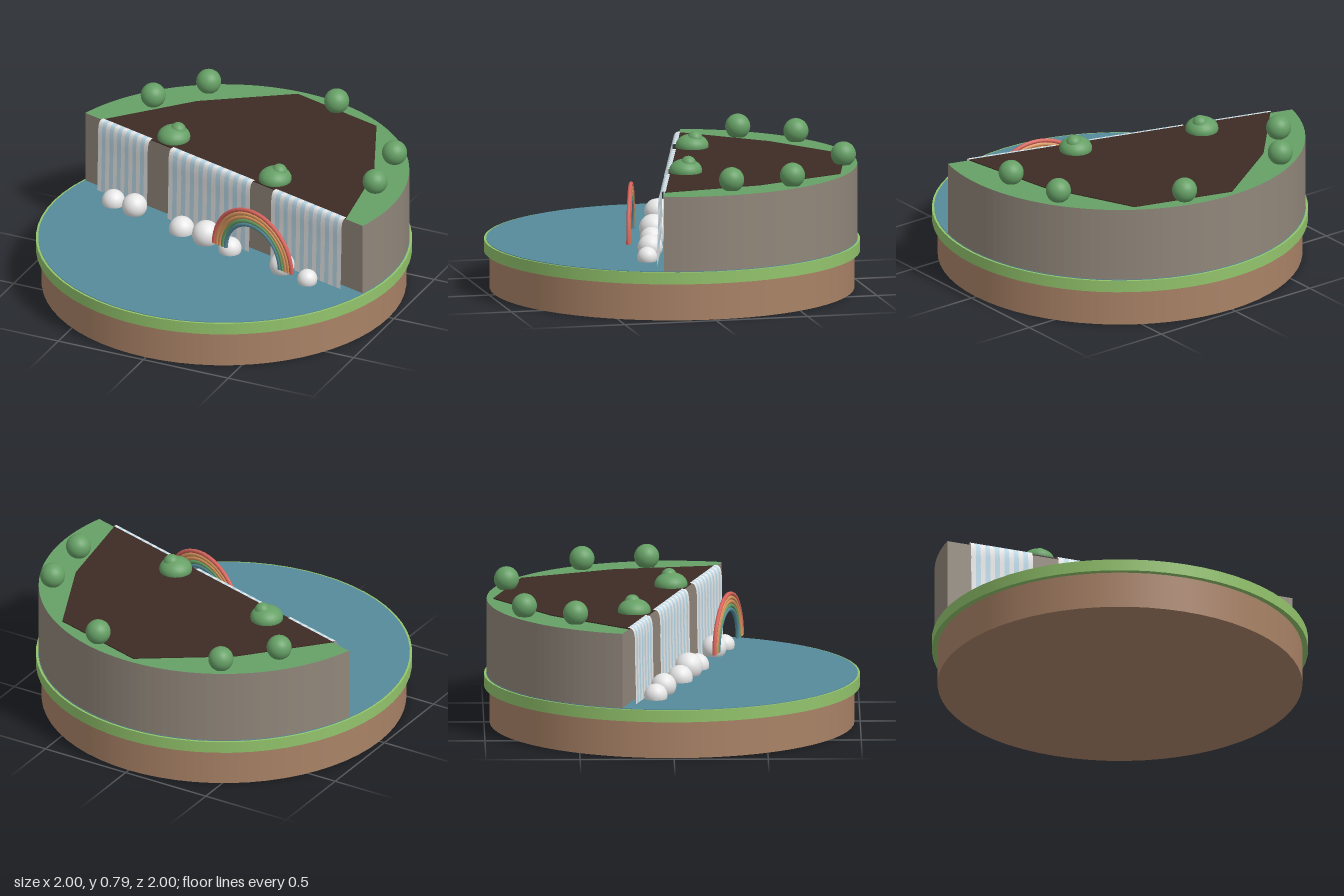
import * as THREE from 'three';

const mat = (name, color, extra = {}) => {
  const m = new THREE.MeshStandardMaterial({ color, ...extra });
  m.name = name;
  return m;
};

export function createModel() {
  const earth = mat('earth', 0xa98266);
  const lime = mat('lime', 0x92c36b);
  const water = mat('water', 0x558b9b);
  const stone = mat('stone', 0x90867a);
  const grass = mat('grass', 0x66a066);
  const soil = mat('soil', 0x3d2c24);
  const foam = mat('foam', 0xe8e8e8, { side: THREE.DoubleSide });
  const paleBlue = mat('paleBlue', 0xb9d9e8, { side: THREE.DoubleSide });
  const red = mat('red', 0xd9645c);
  const orange = mat('orange', 0xd8955c);

  const model = new THREE.Group();
  const add = (name, geo, material, x = 0, y = 0, z = 0, parent = model) => {
    const mesh = new THREE.Mesh(geo, material);
    mesh.name = name;
    mesh.position.set(x, y, z);
    parent.add(mesh);
    return mesh;
  };

  // Round island
  add('base', new THREE.CylinderGeometry(0.97, 0.97, 0.2, 64), earth, 0, 0.1, 0);
  add('rim', new THREE.CylinderGeometry(1, 1, 0.064, 64), lime, 0, 0.232, 0);
  add('lake', new THREE.CylinderGeometry(0.988, 0.988, 0.006, 64), water, 0, 0.264, 0);

  // Everything along the cliff face shares its turned frame
  const cliffSide = new THREE.Group();
  cliffSide.name = 'cliffSide';
  cliffSide.rotation.y = -0.282;
  model.add(cliffSide);

  // Half-round cliff with a grassy top
  const half = new THREE.Shape();
  half.moveTo(0.985, 0);
  half.absarc(0, 0, 0.985, 0, Math.PI, false);
  half.closePath();
  const cliffGeo = new THREE.ExtrudeGeometry(half, { depth: 0.41, bevelEnabled: false, curveSegments: 32 });
  cliffGeo.rotateX(-Math.PI / 2);
  add('cliff', cliffGeo, [grass, stone], 0, 0.26, 0, cliffSide);

  // Dark soil plate on the plateau
  const soilOutline = [[-0.83, -0.235], [0.83, 0.24], [0.74, -0.3], [0.52, -0.795], [-0.016, -0.95], [-0.465, -0.645]];
  const soilShape = new THREE.Shape(soilOutline.map(([x, z]) => new THREE.Vector2(x, -z)));
  const soilGeo = new THREE.ExtrudeGeometry(soilShape, { depth: 0.005, bevelEnabled: false });
  soilGeo.rotateX(-Math.PI / 2);
  add('soil', soilGeo, soil, 0, 0.67, 0);

  // Striped waterfalls curling over the edge: [z, y] profile from top to bottom
  const fall = new THREE.CatmullRomCurve3(
    [[-0.005, 0.678], [0.018, 0.674], [0.032, 0.645], [0.036, 0.5], [0.042, 0.265]]
      .map(([z, y]) => new THREE.Vector3(0, y, z)));
  const rows = 16;
  const stripeGeo = (width) => {
    const geo = new THREE.PlaneGeometry(width, 1, 1, rows);
    const pos = geo.attributes.position;
    for (let i = 0; i < pos.count; i++) {
      const p = fall.getPoint(0.5 - pos.getY(i));
      pos.setXYZ(i, pos.getX(i), p.y, p.z);
    }
    geo.computeVertexNormals();
    return geo;
  };
  for (const [from, to] of [[-0.863, -0.51], [-0.363, 0.215], [0.366, 0.865]]) {
    const waterfall = new THREE.Group();
    waterfall.name = 'waterfall';
    cliffSide.add(waterfall);
    const count = 2 * Math.round((to - from) / 0.064) + 1;
    const width = (to - from) / count;
    const geo = stripeGeo(width);
    for (let i = 0; i < count; i++) {
      add('stripe', geo, i % 2 ? paleBlue : foam, from + (i + 0.5) * width, 0, 0, waterfall);
    }
  }

  // Rainbow of nested half rings
  const rainbow = new THREE.Group();
  rainbow.name = 'rainbow';
  rainbow.position.set(0.384, 0.35, 0.203);
  cliffSide.add(rainbow);
  [red, orange, orange, grass, water].forEach((m, i) => {
    const r = 0.275 - i * 0.021;
    add('rainbowBand', new THREE.TorusGeometry(r, 0.0112, 8, 24, Math.PI), m, 0, 0, 0, rainbow);
    // End caps
    for (const s of [-1, 1]) {
      const cap = add('bandEnd', new THREE.CircleGeometry(0.0112, 8), m, s * r, 0, 0, rainbow);
      cap.rotation.x = Math.PI / 2;
    }
  });

  // Foam balls at the foot of the falls: x, y, z, radius
  for (const [x, y, z, r] of [
    [-0.695, 0.286, -0.094, 0.062], [-0.55, 0.308, -0.05, 0.067], [-0.23, 0.285, 0.04, 0.068],
    [-0.064, 0.311, 0.088, 0.075], [0.1, 0.286, 0.137, 0.062], [0.45, 0.308, 0.228, 0.067],
    [0.626, 0.289, 0.287, 0.054],
  ]) add('foamBall', new THREE.SphereGeometry(r, 24, 16), foam, x, y, z);

  // Round trees around the plateau
  for (const [x, z] of [[-0.465, -0.79], [-0.663, -0.52], [0.247, -0.877], [0.78, -0.47], [0.83, -0.125]]) {
    add('tree', new THREE.SphereGeometry(0.067, 24, 16), grass, x, 0.725, z);
  }

  // Bushes between the falls, each with a small crown
  for (const [x, z] of [[-0.392, -0.205], [0.3, -0.002]]) {
    const bush = add('bush', new THREE.SphereGeometry(0.088, 24, 16), grass, x, 0.685, z);
    bush.scale.y = 0.7;
    add('bushCrown', new THREE.SphereGeometry(0.042, 20, 14), grass, x + 0.02, 0.724, z - 0.01);
  }

  return model;
}
